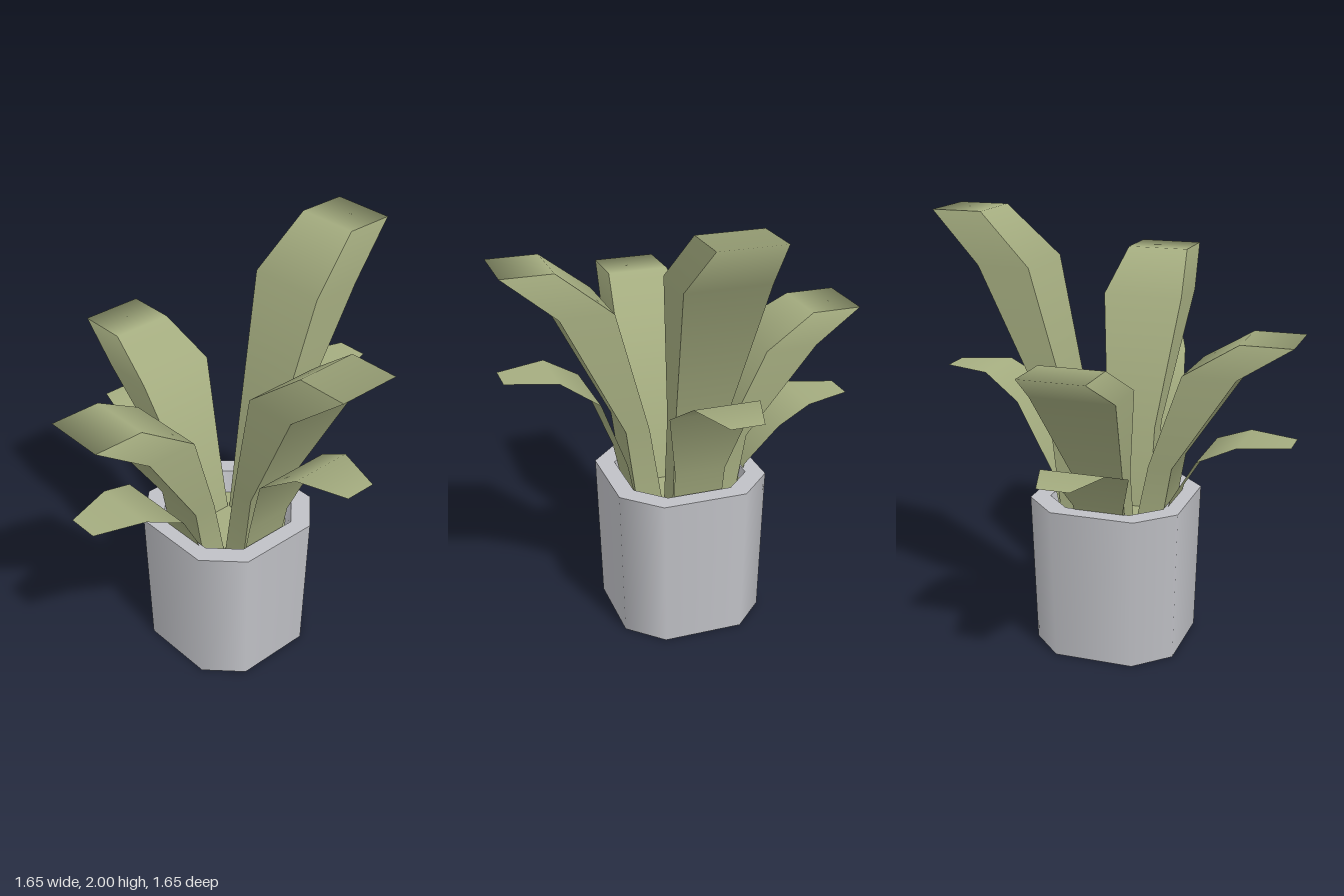
import * as THREE from 'three';

const SOIL_Y = 0.6;

// Quads (a, b, c, d); normals are averaged over both diagonals to stay symmetric
function quads(points, list) {
  const g = new THREE.BufferGeometry();
  g.setAttribute('position', new THREE.Float32BufferAttribute(points.flat(), 3));
  const split = list.flatMap(([a, b, c, d]) => [a, b, c, a, c, d]);
  const otherSplit = list.flatMap(([a, b, c, d]) => [a, b, d, b, c, d]);
  g.setIndex([...split, ...otherSplit]);
  g.computeVertexNormals();
  g.setIndex(split);
  return g;
}

// Strip between consecutive left/right point pairs
function strip(pairs) {
  const list = pairs.slice(1).map((_, i) => [2 * i, 2 * i + 1, 2 * i + 3, 2 * i + 2]);
  return quads(pairs.flat(), list);
}

// Octagonal ring with cut corners; scale 0 closes it to a point
function octagon(scale, y) {
  const a = 0.353 * scale, b = 0.195 * scale;
  return [[a, -b], [a, b], [b, a], [-b, a], [-a, b], [-a, -b], [-b, -a], [b, -a]]
    .map(([x, z]) => [x, y, z]);
}

// Smooth band between two octagonal rings
function band(low, high) {
  const list = low.map((_, i) => {
    const j = (i + 1) % 8;
    return [j, i, i + 8, j + 8];
  });
  return quads([...low, ...high], list);
}

// Tall leaf stations: share of height, outer reach, inner reach, half width
const TALL = [
  [0, 0.24, 0.12, 0.115],
  [0.327, 0.29, 0.18, 0.118],
  [0.836, 0.59, 0.35, 0.19],
  [1, 0.823, 0.59, 0.147],
];

// Low leaf stations: share of height, reach, half width
const LOW = [
  [0, 0.24, 0.115],
  [0.327, 0.285, 0.118],
  [0.836, 0.42, 0.19],
  [1, 0.59, 0.147],
  [1, 0.815, 0.073],
];

export function createModel() {
  const model = new THREE.Group();
  const grey = new THREE.MeshStandardMaterial({ color: 0xc0c1c6 });
  grey.name = 'pot grey';
  const green = new THREE.MeshStandardMaterial({ color: 0xa5ad80 });
  green.name = 'leaf green';
  green.side = THREE.DoubleSide;

  const add = (parent, name, geo, mat) => {
    const mesh = new THREE.Mesh(geo, mat);
    mesh.name = name;
    parent.add(mesh);
  };

  // Pot and soil
  const pot = new THREE.Group();
  pot.name = 'pot';
  pot.position.z = -0.008;
  const base = octagon(0.945, 0), top = octagon(1, 0.71);
  const lip = octagon(0.77, 0.71), soil = octagon(0.7, SOIL_Y);
  add(pot, 'potBottom', band(octagon(0, 0), base), grey);
  add(pot, 'potWall', band(base, top), grey);
  add(pot, 'potRim', band(top, lip), grey);
  add(pot, 'potInnerWall', band(lip, soil), grey);
  add(pot, 'soil', band(soil, octagon(0, SOIL_Y)), green);
  model.add(pot);

  const across = (share, tip, reach, w) => {
    const y = SOIL_Y + share * (tip - SOIL_Y);
    return [[-w, y, reach], [w, y, reach]];
  };

  // Thick bent leaf with smooth faces and separate flanks
  function tallLeaf(name, tip) {
    const leaf = new THREE.Group();
    leaf.name = name;
    const outer = TALL.map(([t, o, , w]) => across(t, tip, o, w));
    const inner = TALL.map(([t, , n, w]) => across(t, tip, n, w));
    add(leaf, 'leafFaces', strip([...outer, ...inner.slice().reverse()]), green);
    add(leaf, 'leafFlankLeft', strip(outer.map((p, i) => [p[1], inner[i][1]])), green);
    add(leaf, 'leafFlankRight', strip(outer.map((p, i) => [inner[i][0], p[0]])), green);
    return leaf;
  }

  // Thin low leaf that bends over into a level, narrowing tip
  function lowLeaf(name, tip) {
    const leaf = new THREE.Group();
    leaf.name = name;
    add(leaf, 'leafSheet', strip(LOW.map(([t, r, w]) => across(t, tip, r, w))), green);
    return leaf;
  }

  // One tall and one low leaf on each side: name, tall tip, low tip
  [['front', 1.49, 1.03], ['left', 1.76, 1.27], ['back', 2, 1.27], ['right', 1.45, 1.0]]
    .forEach(([side, tall, low], i) => {
      for (const leaf of [tallLeaf(side + 'TallLeaf', tall), lowLeaf(side + 'LowLeaf', low)]) {
        leaf.rotation.y = i * Math.PI / 2;
        model.add(leaf);
      }
    });

  return model;
}
